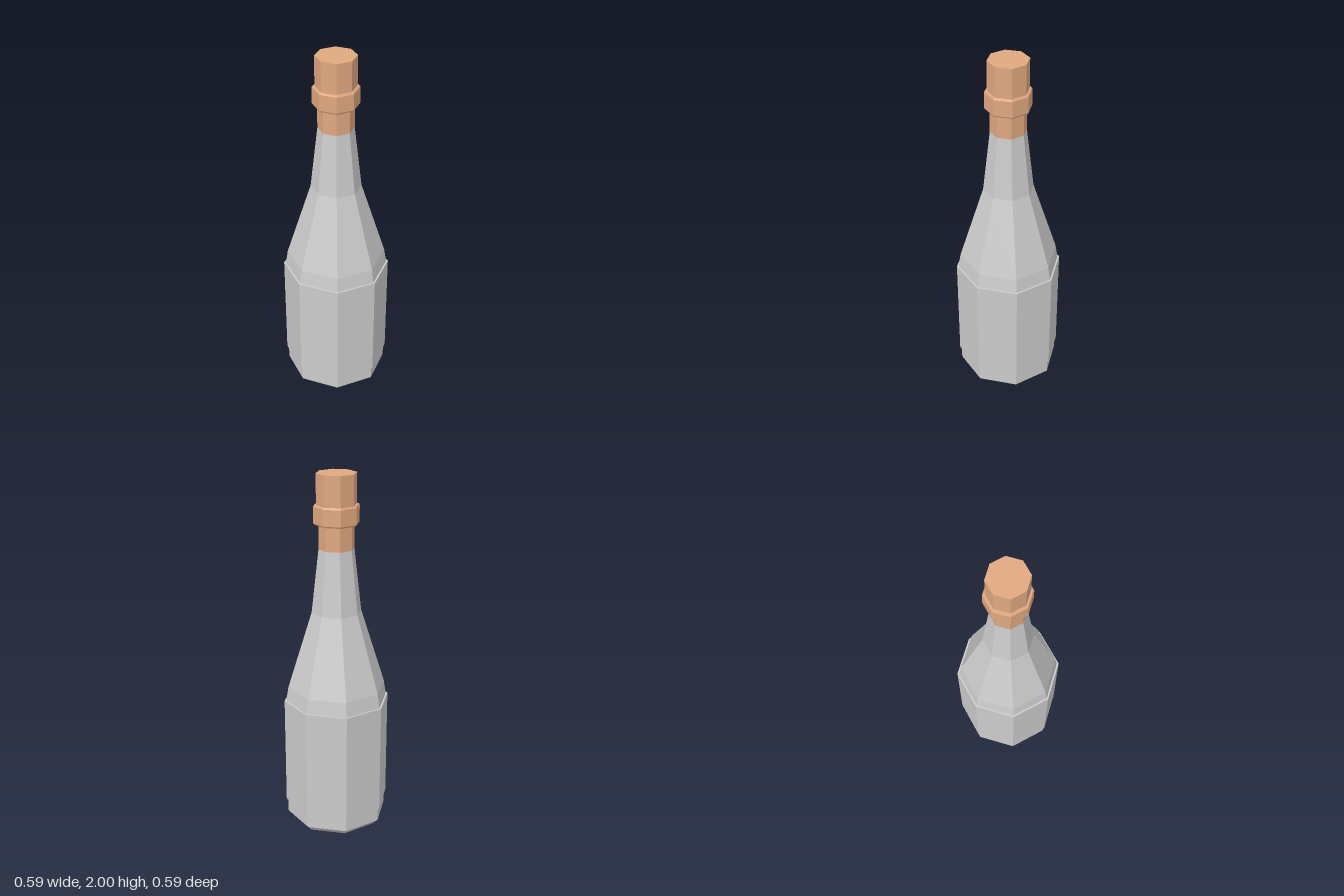
import * as THREE from 'three';

const SIDES = 8;

// Octagonal solid of revolution from [radius, y] pairs, listed bottom to top
function turned(name, profile, material) {
  const points = profile.map(([r, y]) => new THREE.Vector2(r, y));
  const mesh = new THREE.Mesh(new THREE.LatheGeometry(points, SIDES), material);
  mesh.name = name;
  return mesh;
}

export function createModel() {
  const glass = new THREE.MeshStandardMaterial({ color: 0xcccccc, flatShading: true });
  const foil = new THREE.MeshStandardMaterial({ color: 0xe0a880, flatShading: true });

  const bottle = new THREE.Group();
  bottle.name = 'bottle';

  // Glass body: hollow punt underneath, chamfered foot, shoulder and neck
  bottle.add(turned('glassBody', [
    [0, 0.07], [0.1, 0.07], [0.25, 0], [0.285, 0.035],
    [0.285, 0.74], [0.272, 0.82], [0.137, 1.25], [0.097, 1.6],
  ], glass));

  // Label band standing slightly proud of the body
  bottle.add(turned('label', [
    [0.28, 0.115], [0.295, 0.115], [0.295, 0.74], [0.28, 0.74],
  ], glass));

  // Foil sleeve on the upper neck
  bottle.add(turned('foilSleeve', [[0.097, 1.6], [0.097, 1.75]], foil));

  // Lip ring with small chamfers
  bottle.add(turned('lipRing', [
    [0.09, 1.732], [0.119, 1.732], [0.124, 1.74],
    [0.124, 1.828], [0.119, 1.836], [0.09, 1.836],
  ], foil));

  // Capped stopper
  bottle.add(turned('stopper', [[0.109, 1.82], [0.109, 2], [0, 2]], foil));

  return bottle;
}
